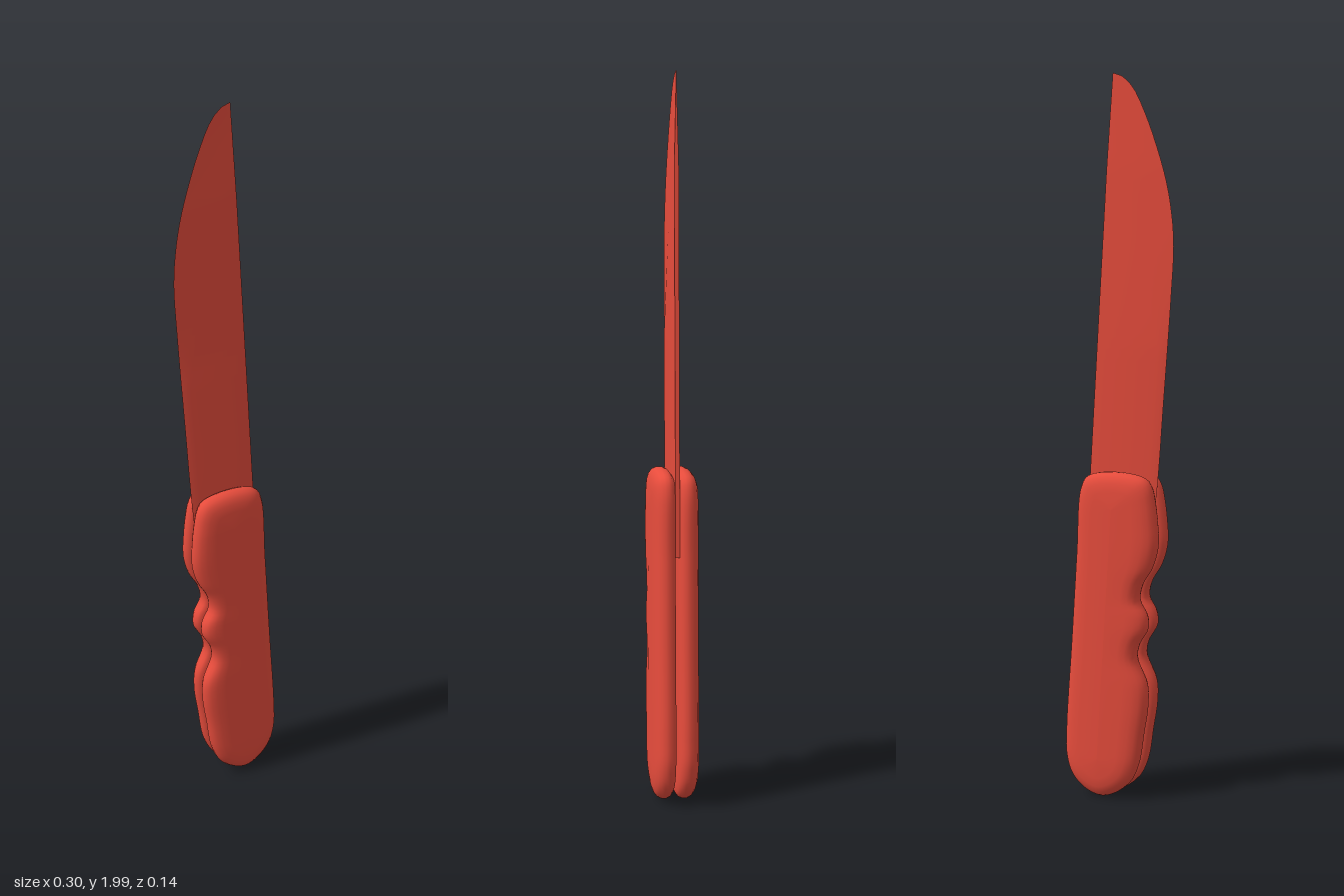
import * as THREE from 'three';
import { toCreasedNormals } from 'three/addons/utils/BufferGeometryUtils.js';

// The knife is turned slightly off the front plane, pivoting on its leaning spine
const TURN = new THREE.Matrix4().set(
  1, 0, 0, 0,
  0, 1, 0, 0,
  -0.11, -0.0074, 1, 0.002,
  0, 0, 0, 1);

// Skin closed rings of equal point count
function loft(rings, flip = false) {
  const n = rings[0].length, index = [];
  for (let r = 0; r < rings.length - 1; r++) {
    for (let i = 0; i < n; i++) {
      const a = r * n + i, b = r * n + (i + 1) % n, c = a + n, d = b + n;
      if (flip) index.push(a, d, b, a, c, d);
      else index.push(a, b, d, a, d, c);
    }
  }
  const g = new THREE.BufferGeometry();
  g.setAttribute('position', new THREE.Float32BufferAttribute(rings.flat(2), 3));
  g.setIndex(index);
  g.applyMatrix4(TURN);
  g.computeVertexNormals();
  return g;
}

// Handle outline with finger grooves
const GRIP = [
  [-0.105, 0.89], [-0.088, 0.915], [0, 0.93], [0.08, 0.915], [0.1, 0.88],
  [0.113, 0.7], [0.13, 0.45], [0.148, 0.2], [0.148, 0.12], [0.13, 0.06],
  [0.09, 0.02], [0.045, 0.005], [0, 0.02], [-0.04, 0.055], [-0.065, 0.11],
  [-0.08, 0.2], [-0.092, 0.28], [-0.09, 0.34], [-0.06, 0.41], [-0.066, 0.45],
  [-0.093, 0.5], [-0.09, 0.535], [-0.068, 0.575], [-0.076, 0.62],
  [-0.105, 0.67], [-0.122, 0.73], [-0.12, 0.8], [-0.112, 0.86],
].reverse();

// Cross-section of one handle half: [fraction moved to the centre line, depth]
const SECTION = [
  [1, 0.003], [0.3, 0.003], [0.13, 0.006], [0.04, 0.013], [0, 0.023], [0, 0.034],
  [0.05, 0.045], [0.14, 0.053], [0.28, 0.059], [0.5, 0.063], [1, 0.065],
];

function handleHalf(side) {
  const curve = new THREE.CatmullRomCurve3(
    GRIP.map(([x, y]) => new THREE.Vector3(x, y, 0)), true, 'centripetal');
  const outline = curve.getSpacedPoints(160).slice(0, -1);
  const centre = new THREE.Line3(
    new THREE.Vector3(0.042, 0.12, 0), new THREE.Vector3(-0.004, 0.83, 0));
  const near = new THREE.Vector3();
  const rings = SECTION.map(([f, z]) => outline.map(p => {
    centre.closestPointToPoint(p, true, near);
    const q = p.clone().lerp(near, f);
    return [q.x, q.y, side * z];
  }));
  return loft(rings, side < 0);
}

// Cutting edge from the tang up to the tip
const EDGE = [
  [-0.085, 0.7], [-0.108, 0.9], [-0.125, 1.12], [-0.146, 1.4], [-0.154, 1.55],
  [-0.147, 1.64], [-0.132, 1.72], [-0.105, 1.81], [-0.075, 1.89],
  [-0.04, 1.96], [-0.01, 1.99], [0.018, 2],
];

function bladeGeometry() {
  const curve = new THREE.CatmullRomCurve3(
    EDGE.map(([x, y]) => new THREE.Vector3(x, y, 0)), false, 'centripetal');
  const rings = curve.getSpacedPoints(48).map(({ x, y }) => {
    const spine = 0.018 + 0.0636 * (2 - y);
    // The bevel is narrow below and widens towards the tip
    const slant = -0.11 + 0.2 * (y - 1.28);
    const ridge = Math.min(spine, Math.max(x + 0.025 * Math.min(1, (2 - y) * 4), slant));
    const t = 0.006 * Math.min(1, (2 - y) * 4);
    return [[spine, y, t], [spine, y, -t], [ridge, y, -t], [x, y, 0], [ridge, y, t]];
  });
  return toCreasedNormals(loft(rings), 0.6);
}

export function createModel() {
  const model = new THREE.Group();
  model.name = 'knife';
  const red = new THREE.MeshStandardMaterial({ color: 0xe74c3c, side: THREE.DoubleSide });
  red.name = 'red';
  const add = (name, geometry) => {
    const mesh = new THREE.Mesh(geometry, red);
    mesh.name = name;
    model.add(mesh);
  };
  add('blade', bladeGeometry());
  add('frontHandleScale', handleHalf(1));
  add('backHandleScale', handleHalf(-1));
  return model;
}
